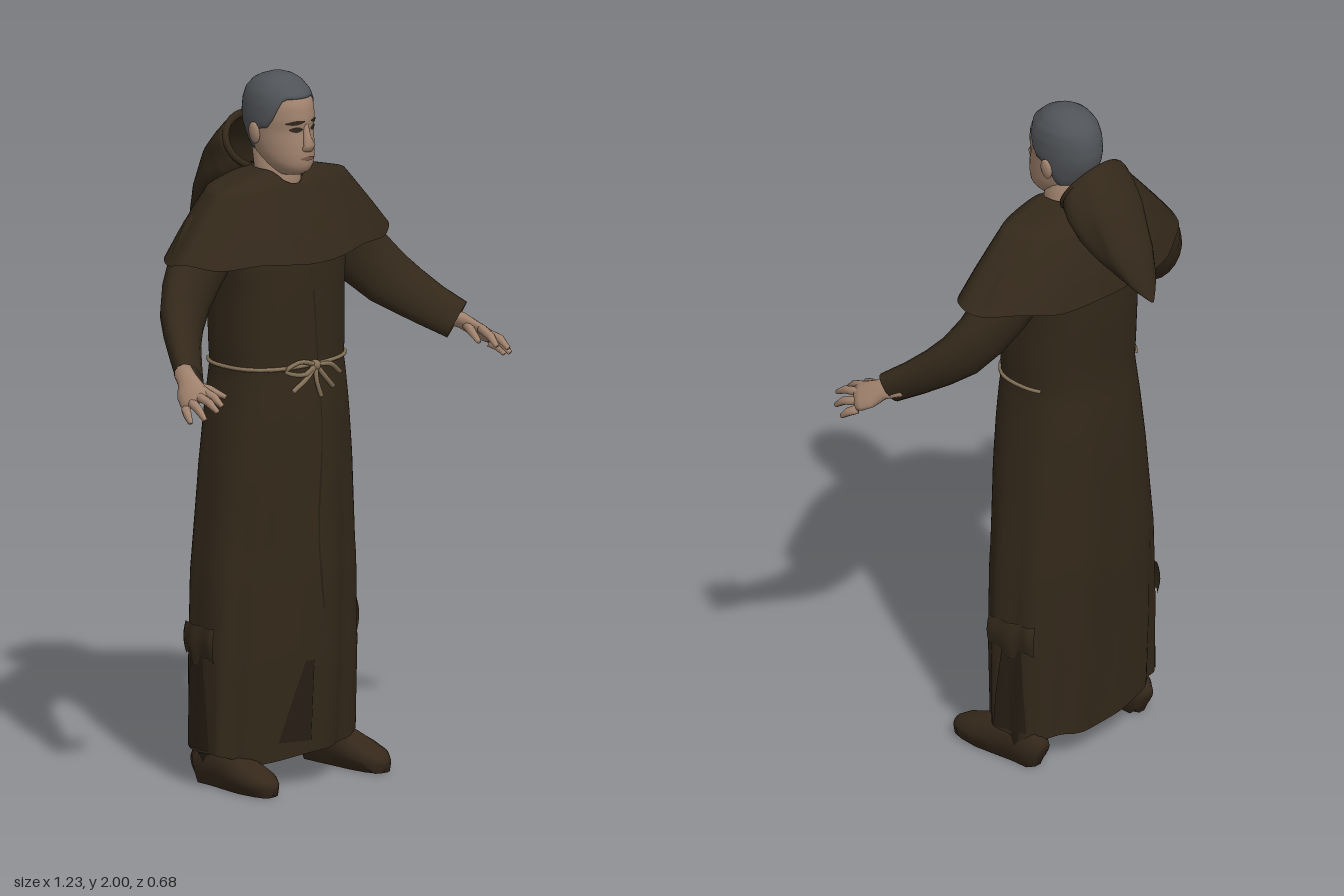
import * as THREE from 'three';

const mat = (name, color, side = THREE.FrontSide) => {
  const m = new THREE.MeshStandardMaterial({ color, side });
  m.name = name;
  return m;
};
const V = (x, y, z) => new THREE.Vector3(x, y, z);
const lerp = THREE.MathUtils.lerp;
const TAU = Math.PI * 2;

// Smooth grid surface from fn(u, v); wrap closes it in v, caps close both ends in u
function surface(fn, nu, nv, wrap = false, caps = false) {
  const pos = [], idx = [], cols = wrap ? nv : nv + 1;
  for (let i = 0; i <= nu; i++)
    for (let j = 0; j < cols; j++) pos.push(...fn(i / nu, j / nv).toArray());
  const at = (i, j) => i * cols + (wrap ? j % nv : j);
  for (let i = 0; i < nu; i++)
    for (let j = 0; j < nv; j++) {
      const a = at(i, j), b = at(i + 1, j), c = at(i, j + 1), d = at(i + 1, j + 1);
      idx.push(a, b, c, c, b, d);
    }
  if (caps) {
    for (const i of [0, nu]) {
      const mid = V(0, 0, 0), k = pos.length / 3;
      for (let j = 0; j < nv; j++) mid.add(V(...pos.slice(at(i, j) * 3, at(i, j) * 3 + 3)));
      pos.push(...mid.divideScalar(nv).toArray());
      for (let j = 0; j < nv; j++) i ? idx.push(k, at(i, j + 1), at(i, j)) : idx.push(k, at(i, j), at(i, j + 1));
    }
  }
  const g = new THREE.BufferGeometry();
  g.setAttribute('position', new THREE.Float32BufferAttribute(pos, 3));
  g.setIndex(idx);
  g.computeVertexNormals();
  return g;
}

// Elliptical limb through [x, y, z, ra, rb]; ra lies along the across direction
function limb(pts, across, caps = true, sides = 12) {
  const P = pts.map(p => V(p[0], p[1], p[2]));
  return surface((u, v) => {
    const i = Math.round(u * (pts.length - 1));
    const t = P[Math.min(i + 1, P.length - 1)].clone().sub(P[Math.max(i - 1, 0)]).normalize();
    const a = across.clone().addScaledVector(t, -across.dot(t)).normalize();
    const b = a.clone().cross(t), ra = pts[i][3], rb = pts[i][4] ?? ra;
    return P[i].clone().addScaledVector(a, ra * Math.cos(v * TAU)).addScaledVector(b, rb * Math.sin(v * TAU));
  }, pts.length - 1, sides, true, caps);
}

// Interpolates the rows of a table by their first column
function sample(table, y) {
  let i = 0;
  while (i < table.length - 2 && table[i + 1][0] < y) i++;
  const A = table[i], B = table[i + 1], t = THREE.MathUtils.clamp((y - A[0]) / (B[0] - A[0]), 0, 1);
  return A.map((a, k) => lerp(a, B[k], t));
}

function mirrored(geo) {
  const g = geo.clone().scale(-1, 1, 1), ix = g.index.array;
  for (let i = 0; i < ix.length; i += 3) [ix[i], ix[i + 1]] = [ix[i + 1], ix[i]];
  g.computeVertexNormals();
  return g;
}

// Robe: height, half width, front depth, back depth
const ROBE = [[.09, .272, .168, .15], [.35, .272, .18, .163], [.6, .263, .18, .176], [.9, .235, .165, .175],
  [1.05, .215, .155, .172], [1.18, .196, .14, .163], [1.25, .2, .14, .165], [1.4, .2, .14, .175],
  [1.5, .21, .135, .175], [1.6, .19, .095, .15], [1.68, .1, .05, .09]];
function robePoint(y, a, off = 0) {
  const [, rx, zf, zb] = sample(ROBE, y), c = Math.cos(a), s = Math.sin(a);
  const k = THREE.MathUtils.clamp((1.15 - y) / 1.0, 0, 1);
  const fold = 1 + k * (.022 * Math.sin(9 * a + .6) + .012 * Math.sin(14 * a + y * 2));
  const sq = n => Math.sign(n) * Math.abs(n) ** .82;
  // the skirt comes to a ridge where its front panels overlap
  const ridge = s > 0 ? lerp(1, .75 + .25 * s ** 12, Math.min(1, k * 2)) : 1;
  return V((rx * fold + off) * sq(c) - .012 * k, y, ((s > 0 ? zf : zb) * fold * ridge + off) * sq(s));
}
const hem = a => .095 + .015 * Math.sin(2 * a + .5) + .008 * Math.sin(5 * a);

// Head: height, half width, front z, back z
const HEAD = [[1.722, .036, .09, .0], [1.735, .05, .112, -.02], [1.755, .064, .118, -.045], [1.78, .072, .119, -.07],
  [1.81, .077, .117, -.09], [1.85, .081, .111, -.108], [1.88, .084, .116, -.113], [1.92, .083, .111, -.108],
  [1.95, .076, .095, -.097], [1.975, .059, .068, -.072], [1.99, .036, .04, -.042], [1.996, .016, .02, -.018]];
function headPoint(y, a, off = 0) {
  const [, rx, zf, zb] = sample(HEAD, y);
  return V((rx + off) * Math.cos(a), y, (zf + zb) / 2 + ((zf - zb) / 2 + off) * Math.sin(a));
}
// Thin plate following the face
function facePlate(x, y, w, h, slope = 0) {
  return surface((u, v) => {
    const px = x + w * (.5 - v), py = y + (u - .5) * h * (1 - .8 * (2 * v - 1) ** 2) + slope * (px - x);
    const [, rx, zf, zb] = sample(HEAD, py);
    return V(px, py, (zf + zb) / 2 + (zf - zb) / 2 * Math.sqrt(1 - (px / rx) ** 2) + .003);
  }, 3, 8);
}

export function createModel() {
  const model = new THREE.Group();
  const cloth = mat('brown cloth', 0x33281a, THREE.DoubleSide);
  const darkCloth = mat('dark cloth', 0x271e14, THREE.DoubleSide);
  const leather = mat('shoe leather', 0x35281b);
  const skin = mat('skin', 0xa1836e);
  const lipSkin = mat('lips', 0x7c5a4b);
  const hairMat = mat('grey hair', 0x505357);
  const dark = mat('eyes and brows', 0x33281f);
  const ropeMat = mat('rope', 0x857258);
  const add = (name, geo, m) => {
    const mesh = new THREE.Mesh(geo, m);
    mesh.name = name;
    model.add(mesh);
  };
  const pair = (name, geo, m) => {
    add(name + 'Left', geo, m);
    add(name + 'Right', mirrored(geo), m);
  };

  // Robe with folds, a front seam and a gap in the lower front
  add('robe', surface((u, v) => {
    const a = v * TAU;
    return robePoint(lerp(hem(a), 1.68, u), a);
  }, 44, 96, true), cloth);
  add('frontSeam', surface((u, v) => robePoint(lerp(.5, 1.4, u), 1.55 + .012 * v + .03 * Math.sin(u * 7), .002), 30, 1), darkCloth);
  add('frontGap', surface((u, v) => robePoint(lerp(.13, .36, u), 1.63 + .32 * v * (1 - .75 * u), .003), 10, 8), darkCloth);

  // Side slits with torn pocket flaps above them
  for (const [side, mid] of [['Left', -.2], ['Right', Math.PI + .2]]) {
    add('sideSlit' + side, surface((u, v) => robePoint(lerp(.11, .42, u), mid + (v - .5) * .55 * (1 - .5 * u), .003), 10, 6), darkCloth);
    add('pocketFlap' + side, surface((u, v) => robePoint(lerp(.36, .46, u) + .015 * Math.sin(v * 9) * (1 - u),
      mid + (v - .5) * .75, .003 + .009 * Math.sin(u * 2.8) + .004 * Math.sin(v * 14)), 6, 12), cloth);
  }

  // Shoulder cape: height, half width, front, back, neck dip
  const CAPE = [[0, 1.49, .4, .175, .208, 0], [.25, 1.56, .345, .145, .195, 0], [.5, 1.63, .288, .112, .175, 0],
    [.72, 1.69, .238, .085, .15, .005], [.86, 1.715, .15, .078, .12, .02], [.95, 1.73, .092, .072, .095, .035], [1, 1.735, .072, .064, .08, .05]];
  add('cape', surface((u, v) => {
    const a = v * TAU, c = Math.cos(a), s = Math.sin(a), [, y, rx, zf, zb, dip] = sample(CAPE, u);
    const w = 1 + (1 - u) * .015 * Math.sin(11 * a);
    const z = s > 0 ? zf * lerp(.87 * s + .13 * s ** 10, s, u) : -zb * Math.abs(s) ** 1.12;
    return V(rx * Math.sign(c) * Math.abs(c) ** .95, y + (1 - u) * (.02 * c * c + .006 * Math.sin(7 * a)) - dip * Math.max(0, s) ** 4, z * w);
  }, 24, 64, true), cloth);

  // Hood hanging behind: top z, y, bottom z, y, half width
  const HOOD = [[0, -.135, 1.86, -.055, 1.72, .1], [.12, -.14, 1.872, -.07, 1.7, .116], [.3, -.18, 1.83, -.09, 1.67, .118],
    [.52, -.236, 1.765, -.13, 1.635, .108], [.75, -.298, 1.645, -.185, 1.605, .084], [.92, -.33, 1.55, -.275, 1.555, .043], [1, -.34, 1.51, -.335, 1.51, .005]];
  add('hood', surface((u, v) => {
    const a = v * TAU, [, tz, ty, bz, by, w] = sample(HOOD, u), m = .5 + .5 * Math.sin(a);
    const crease = 1 + .07 * Math.sin(5 * a + u * 6) * Math.sin(u * Math.PI);
    return V(w * Math.cos(a) * crease, lerp(by, ty, m), lerp(bz, tz, m));
  }, 20, 28, true), cloth);
  const rim = Array.from({ length: 16 }, (_, i) => {
    const a = i / 16 * TAU, m = .5 + .5 * Math.sin(a);
    return V(.103 * Math.cos(a), lerp(1.72, 1.86, m), lerp(-.06, -.137, m));
  });
  add('hoodRim', new THREE.TubeGeometry(new THREE.CatmullRomCurve3(rim, true), 40, .011, 6, true), cloth);

  // Sleeves
  pair('sleeve', limb([[.16, 1.6, -.045, .09, .072], [.22, 1.55, -.045, .1, .074], [.29, 1.475, -.032, .098, .066], [.345, 1.412, -.012, .09, .06],
    [.395, 1.355, .022, .083, .054], [.435, 1.315, .066, .073, .047], [.475, 1.275, .12, .064, .041], [.517, 1.238, .178, .058, .035]], V(.6, .8, 0), false, 18), cloth);

  // Hands: palm, four fingers and a thumb
  const across = V(.055, -.055, -.02).normalize();
  pair('palm', limb([[.505, 1.25, .14, .028, .022], [.53, 1.235, .185, .03, .021], [.549, 1.215, .215, .042, .018],
    [.561, 1.202, .242, .045, .016], [.569, 1.193, .258, .038, .012]], across), skin);
  const fingers = [[[.538, 1.222, .252], [.534, 1.207, .295], [.53, 1.185, .323]], [[.556, 1.207, .258], [.562, 1.198, .303], [.561, 1.176, .337]],
    [[.574, 1.19, .25], [.586, 1.178, .288], [.589, 1.155, .315]], [[.586, 1.172, .236], [.6, 1.16, .258], [.606, 1.142, .276]],
    [[.53, 1.228, .2], [.506, 1.218, .248], [.488, 1.2, .295]]];
  fingers.forEach((f, i) => pair('finger' + (i + 1),
    limb(f.map((p, k) => [...p, [.0135, .012, .007][k]]), across, true, 8), skin));

  // Legs and shoes with flat soles
  pair('leg', limb([[.205, .05, -.045, .045], [.2, .2, -.035, .055], [.18, .45, -.03, .06]], V(1, 0, 0)), darkCloth);
  const shoe = limb([[.205, .045, -.108, .026, .04], [.205, .055, -.085, .044, .06], [.206, .06, -.02, .046, .064], [.211, .053, .05, .052, .056],
    [.215, .042, .11, .057, .045], [.216, .032, .165, .05, .035], [.214, .024, .195, .03, .024], [.213, .02, .205, .012, .012]], V(1, 0, 0), true, 16);
  const sp = shoe.attributes.position;
  for (let i = 0; i < sp.count; i++) if (sp.getY(i) < .016) sp.setY(i, 0);
  shoe.computeVertexNormals();
  pair('shoe', shoe, leather);

  // Rope belt around the front and sides, with knot, bows and tails
  const belt = Array.from({ length: 28 }, (_, i) => robePoint(1.19, lerp(-.45, Math.PI + .8, i / 27), .002));
  add('ropeBelt', new THREE.TubeGeometry(new THREE.CatmullRomCurve3(belt), 80, .006, 6), ropeMat);
  add('ropeKnot', new THREE.SphereGeometry(.016, 10, 8).translate(0, 1.188, .147), ropeMat);
  const strands = [[[0, 1.19, .15], [-.05, 1.17, .157], [-.11, 1.185, .142], [-.06, 1.205, .148], [0, 1.19, .15]],
    [[0, 1.19, .15], [.05, 1.185, .155], [.095, 1.155, .147]], [[0, 1.19, .15], [-.04, 1.16, .158], [-.09, 1.125, .15]],
    [[0, 1.19, .15], [.03, 1.15, .158], [.06, 1.12, .155]], [[0, 1.19, .15], [-.005, 1.15, .157], [.012, 1.1, .158]]];
  strands.forEach((s, i) => add('ropeStrand' + (i + 1),
    new THREE.TubeGeometry(new THREE.CatmullRomCurve3(s.map(p => V(...p))), 14, .007, 6), ropeMat));

  // Neck, head and hair
  add('neck', limb([[0, 1.64, -.005, .07, .062], [0, 1.7, 0, .066, .062], [0, 1.8, -.015, .064, .066]], V(1, 0, 0), true, 20), skin);
  add('head', surface((u, v) => headPoint(lerp(1.722, 1.994, u), v * TAU), 28, 32, true, true), skin);
  const hairline = a => {
    const f = Math.sin(a);
    return f > .2 ? lerp(1.855, 1.94, THREE.MathUtils.smoothstep(f, .25, .8)) : lerp(1.775, 1.855, THREE.MathUtils.smoothstep(f, -.75, .15));
  };
  add('hair', surface((u, v) => {
    const a = v * TAU;
    return headPoint(lerp(hairline(a), 1.996, u), a, .004 * Math.min(1, u * 8 + .3)).add(V(0, .004 * u, 0));
  }, 20, 40, true, true), hairMat);

  // Face
  add('nose', limb([[0, 1.794, .108, .015, .007], [0, 1.8, .118, .02, .012], [0, 1.81, .124, .018, .014],
    [0, 1.832, .113, .012, .012], [0, 1.868, .106, .009, .008]], V(1, 0, 0)), skin);
  pair('ear', new THREE.SphereGeometry(1, 12, 10).scale(.011, .032, .019).rotateZ(-.15).translate(.086, 1.838, -.008), skin);
  pair('eye', facePlate(.032, 1.855, .034, .016), dark);
  pair('brow', facePlate(.035, 1.875, .046, .013, -.12), dark);
  add('mouth', facePlate(0, 1.772, .05, .012), lipSkin);
  return model;
}
